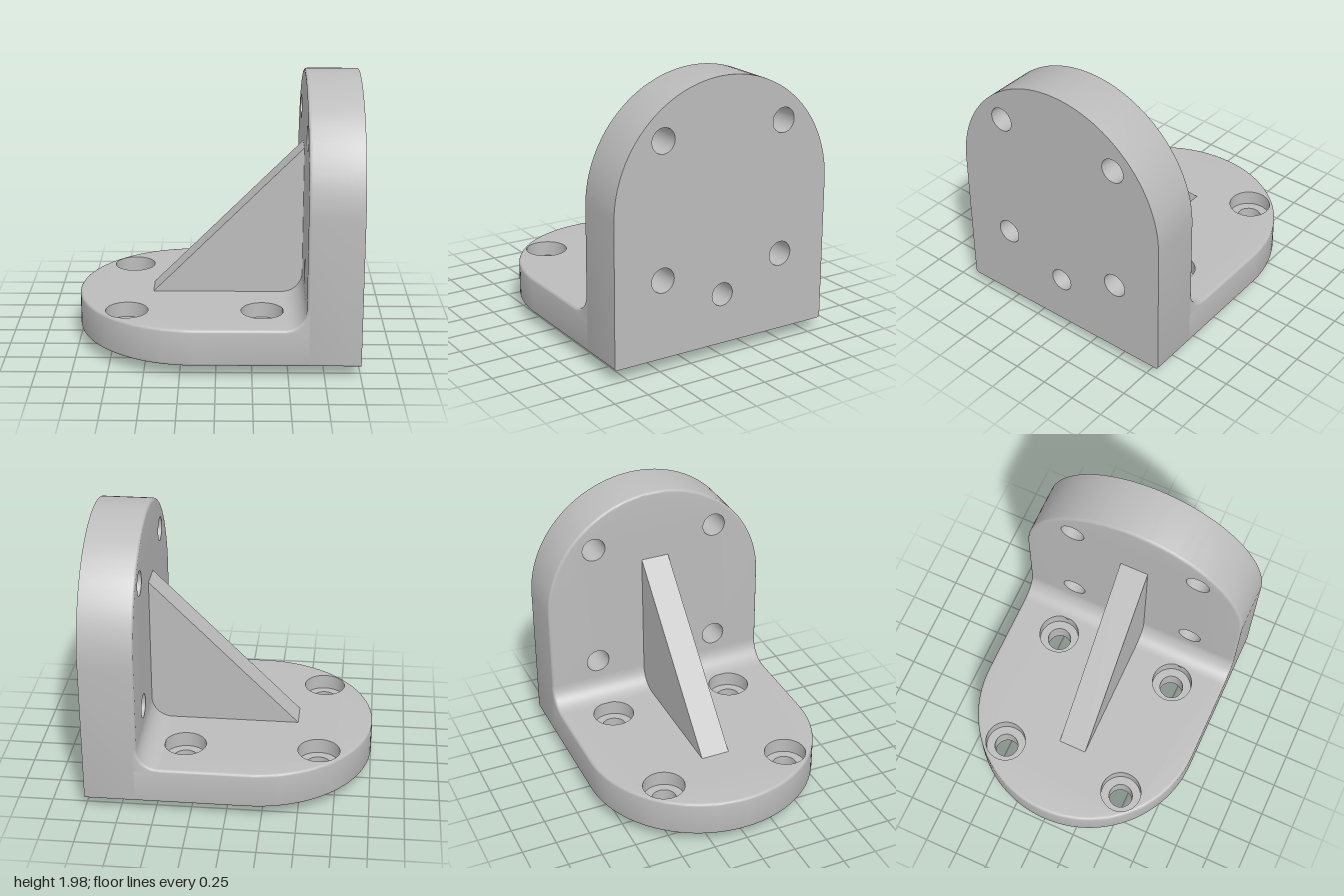
import * as THREE from 'three';
import { toCreasedNormals } from 'three/addons/utils/BufferGeometryUtils.js';

const HALF = 0.85;   // half width of plate and wall
const BEVEL = 0.02;  // rounded edge radius
const BASE_Y = 0.09, TOP_Y = 0.355, WALL_X = 0.62;
const HOLE_R = 0.088, BORE_R = 0.15, HOLE_Z = 0.478;

// Points along an arc, angles in degrees
function arc(cx, cy, r, from, to, n) {
  const pts = [];
  for (let i = 0; i <= n; i++) {
    const a = THREE.MathUtils.degToRad(from + (to - from) * i / n);
    pts.push(new THREE.Vector2(cx + r * Math.cos(a), cy + r * Math.sin(a)));
  }
  return pts;
}
// Clockwise ring, so that a loft through it faces inwards
const ring = (cx, cy, r) => arc(cx, cy, r, 360, 0, 40).slice(0, -1);
const pt = (x, y) => new THREE.Vector2(x, y);

// Skin between successive sections { pts, w }
function loft(out, sections) {
  for (let s = 0; s + 1 < sections.length; s++) {
    const a = sections[s], b = sections[s + 1], n = a.pts.length;
    for (let i = 0; i < n; i++) {
      const j = (i + 1) % n;
      const A = [a.pts[i].x, a.pts[i].y, a.w], B = [a.pts[j].x, a.pts[j].y, a.w];
      const C = [b.pts[j].x, b.pts[j].y, b.w], D = [b.pts[i].x, b.pts[i].y, b.w];
      out.push(...A, ...B, ...C, ...A, ...C, ...D);
    }
  }
}

// Flat end face with holes
function cap(out, section, holes, flip) {
  const all = [...section.pts, ...holes.flat()];
  for (const f of THREE.ShapeUtils.triangulateShape(section.pts, holes)) {
    for (const k of flip ? [f[0], f[2], f[1]] : f) out.push(all[k].x, all[k].y, section.w);
  }
}

// Solid lofted through sections; each hole is a list of { pts, w } from start to end
function solid(sections, through = [], blind = []) {
  const out = [], last = h => h[h.length - 1].pts;
  loft(out, sections);
  [...through, ...blind].forEach(h => loft(out, h));
  cap(out, sections[0], through.map(h => h[0].pts), true);
  cap(out, sections[sections.length - 1], [...through, ...blind].map(last), false);
  const g = new THREE.BufferGeometry();
  g.setAttribute('position', new THREE.Float32BufferAttribute(out, 3));
  return toCreasedNormals(g, 0.5);
}

// Sections for a rounded starting edge (and ending edge if wanted)
function rounded(outline, w0, w1, roundEnd) {
  const start = [], end = [];
  for (let i = 0; i <= 4; i++) {
    const a = i / 4 * Math.PI / 2;
    const pts = () => outline(BEVEL * (1 - Math.sin(a)));
    start.push({ pts: pts(), w: w0 + BEVEL * (1 - Math.cos(a)) });
    end.unshift({ pts: pts(), w: w1 - BEVEL * (1 - Math.cos(a)) });
  }
  return [...start, ...(roundEnd ? end : [{ pts: outline(0), w: w1 }])];
}

export function createModel() {
  const group = new THREE.Group();
  const metal = new THREE.MeshStandardMaterial({ color: 0xbcbcbc });
  metal.name = 'grey metal';
  const add = (name, geometry) => {
    const mesh = new THREE.Mesh(geometry, metal);
    mesh.name = name;
    group.add(mesh);
  };

  // Base plate with one round end and four counterbored holes
  const baseOutline = d => [
    pt(WALL_X + BEVEL, d - HALF), pt(WALL_X + BEVEL, HALF - d),
    ...arc(-0.15, 0, HALF - d, 90, 270, 48),
  ];
  const floorY = TOP_Y - 0.11;
  const bores = [];
  for (const x of [-0.63, 0.325]) for (const s of [-1, 1]) {
    bores.push([[HOLE_R, BASE_Y], [HOLE_R, floorY], [BORE_R, floorY], [BORE_R, TOP_Y]]
      .map(([r, w]) => ({ pts: ring(x, s * HOLE_Z, r), w })));
  }
  add('basePlate', solid(rounded(baseOutline, BASE_Y, TOP_Y, true), bores).rotateX(-Math.PI / 2));

  // Upright wall with arched top, four through holes and a drilled blind hole
  const wallOutline = d => [
    ...arc(HALF - BEVEL - d, BASE_Y + BEVEL, BEVEL, 270, 360, 4),
    ...arc(0, 1.125, HALF - d, 0, 180, 64),
    ...arc(d + BEVEL - HALF, BASE_Y + BEVEL, BEVEL, 180, 270, 4),
  ];
  const wallHoles = [];
  for (const y of [0.65, 1.605]) for (const s of [-1, 1]) {
    wallHoles.push([WALL_X, 1].map(w => ({ pts: ring(s * HOLE_Z, y, HOLE_R), w })));
  }
  const drilled = [[0.001, 0.65], [0.083, 0.7], [0.083, 1]]
    .map(([r, w]) => ({ pts: ring(0, 0.45, r), w }));
  add('uprightWall',
    solid(rounded(wallOutline, WALL_X, 1, false), wallHoles, [drilled]).rotateY(Math.PI / 2));

  // Concave fillet joining plate and wall
  const filletOutline = d => [
    pt(0.645, 0.33), pt(0.645, 0.505),
    ...arc(0.47, 0.505, 0.15 + d, 0, -90, 14),
    pt(0.47, 0.33),
  ];
  add('innerFillet', solid(rounded(filletOutline, -HALF, HALF, true)));

  // Triangular stiffening rib
  const ribPts = [pt(-0.47, 0.345), pt(0.63, 0.345), pt(0.63, 1.45)];
  add('rib', solid([-0.105, 0.105].map(w => ({ pts: ribPts, w }))));

  // Round boss under the plate: rounded lower edge, flared upper edge
  const bossProfile = [
    pt(0, 0), pt(0.385, 0),
    ...arc(0.385, 0.035, 0.035, -75, 0, 5),
    ...arc(0.46, 0.05, 0.04, 180, 90, 6),
  ];
  const boss = new THREE.LatheGeometry(bossProfile, 64);
  add('boss', toCreasedNormals(boss, 0.5).translate(-0.15, 0, 0));

  return group;
}
